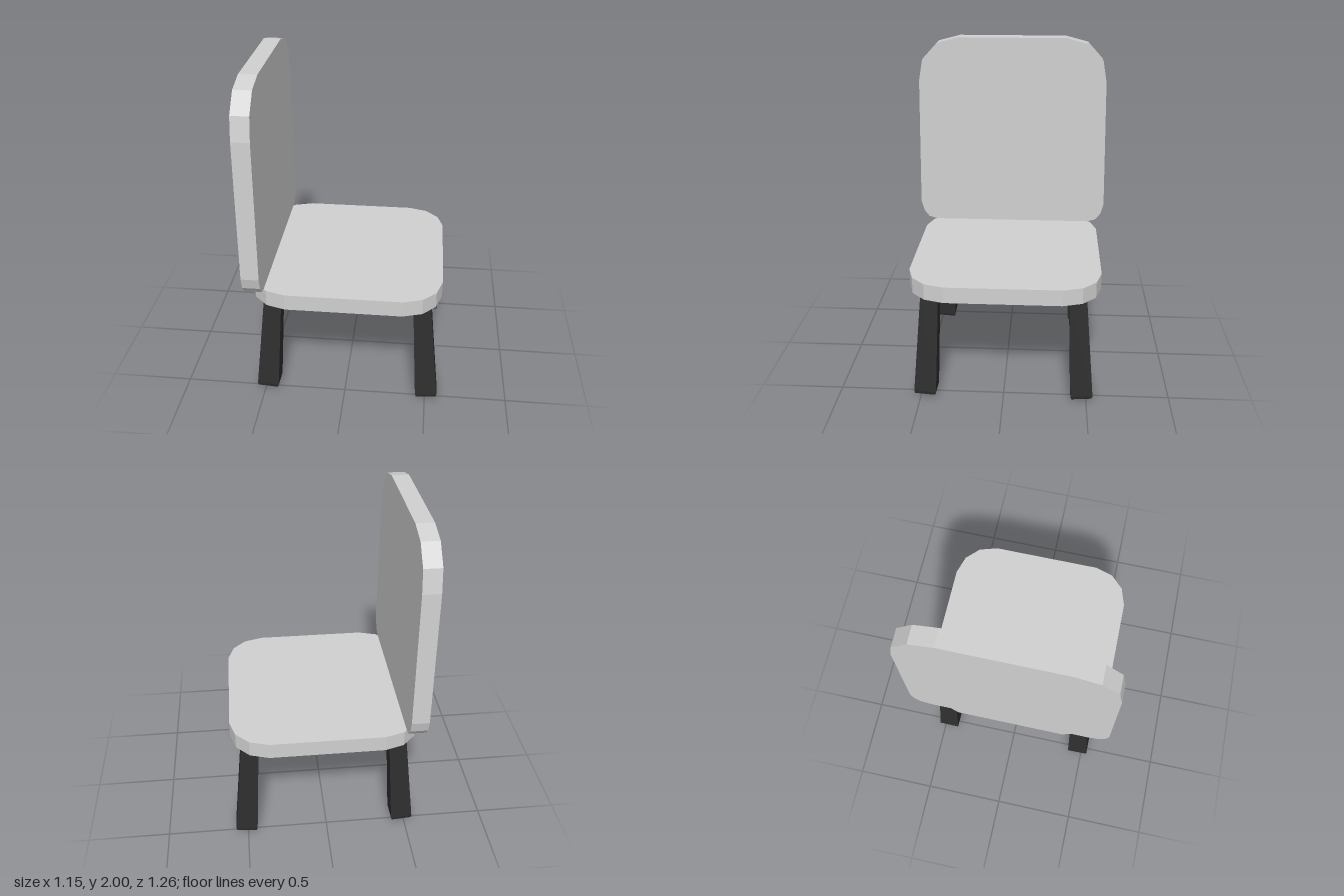
import * as THREE from 'three';

// Flat panel from the right half of a mirrored outline, extruded along +z
function panel(half, depth) {
  const left = half.map(([u, v]) => [-u, v]).reverse();
  const shape = new THREE.Shape([...half, ...left].map(([u, v]) => new THREE.Vector2(u, v)));
  return new THREE.ExtrudeGeometry(shape, { depth, bevelEnabled: false });
}

// Square leg, wider at the foot, splayed outward with a chamfered, tilted foot
function legGeometry(sx, sz) {
  const profile = [[0, 0.01], [0.05, 0.01], [0.061, 0.017], [0.066, 0.036], [0.052, 0.67]]
    .map(([r, y]) => new THREE.Vector2(r * Math.SQRT2, y));
  const geo = new THREE.LatheGeometry(profile, 4, Math.PI / 4).toNonIndexed();
  const p = geo.attributes.position;
  for (let i = 0; i < p.count; i++) {
    const x = p.getX(i), y = p.getY(i), z = p.getZ(i);
    const t = 1 - y / 0.65;
    const tilt = 0.08 * (x * sx + z * sz) * Math.max(0, t);
    p.setXYZ(i, x + sx * (0.447 + 0.05 * t) + 0.013, y + tilt, z + sz * (0.435 + 0.039 * t));
  }
  geo.computeVertexNormals();
  return geo;
}

export function createModel() {
  const grey = new THREE.MeshStandardMaterial({ color: 0xd0d0d0 });
  grey.name = 'light grey';
  const black = new THREE.MeshStandardMaterial({ color: 0x2e2e2e });
  black.name = 'charcoal';

  const chair = new THREE.Group();
  chair.name = 'chair';
  const add = (name, geo, mat) => {
    const mesh = new THREE.Mesh(geo, mat);
    mesh.name = name;
    chair.add(mesh);
  };

  // Seat: square with faceted round corners
  const corner = [[0.345, 0.575], [0.46, 0.54], [0.54, 0.46], [0.575, 0.345]];
  const seatHalf = [...corner.map(([u, v]) => [u, -v]), ...corner.slice().reverse()];
  const seat = panel(seatHalf, 0.1);
  seat.rotateX(-Math.PI / 2).translate(0, 0.65, 0);
  add('seat', seat, grey);

  // Backrest: slightly tapered upright panel
  const backHalf = [[0.5, 0.745], [0.575, 0.765], [0.61, 0.81], [0.628, 0.88],
    [0.61, 1.72], [0.585, 1.857], [0.487, 1.963], [0.345, 2]];
  const back = panel(backHalf, 0.105);
  back.rotateY(Math.PI / 2).translate(-0.58, 0, 0);
  add('backrest', back, grey);

  // Four splayed legs
  for (const sx of [-1, 1])
    for (const sz of [-1, 1])
      add(`${sx < 0 ? 'back' : 'front'}Leg${sz < 0 ? 'A' : 'B'}`, legGeometry(sx, sz), black);

  return chair;
}
